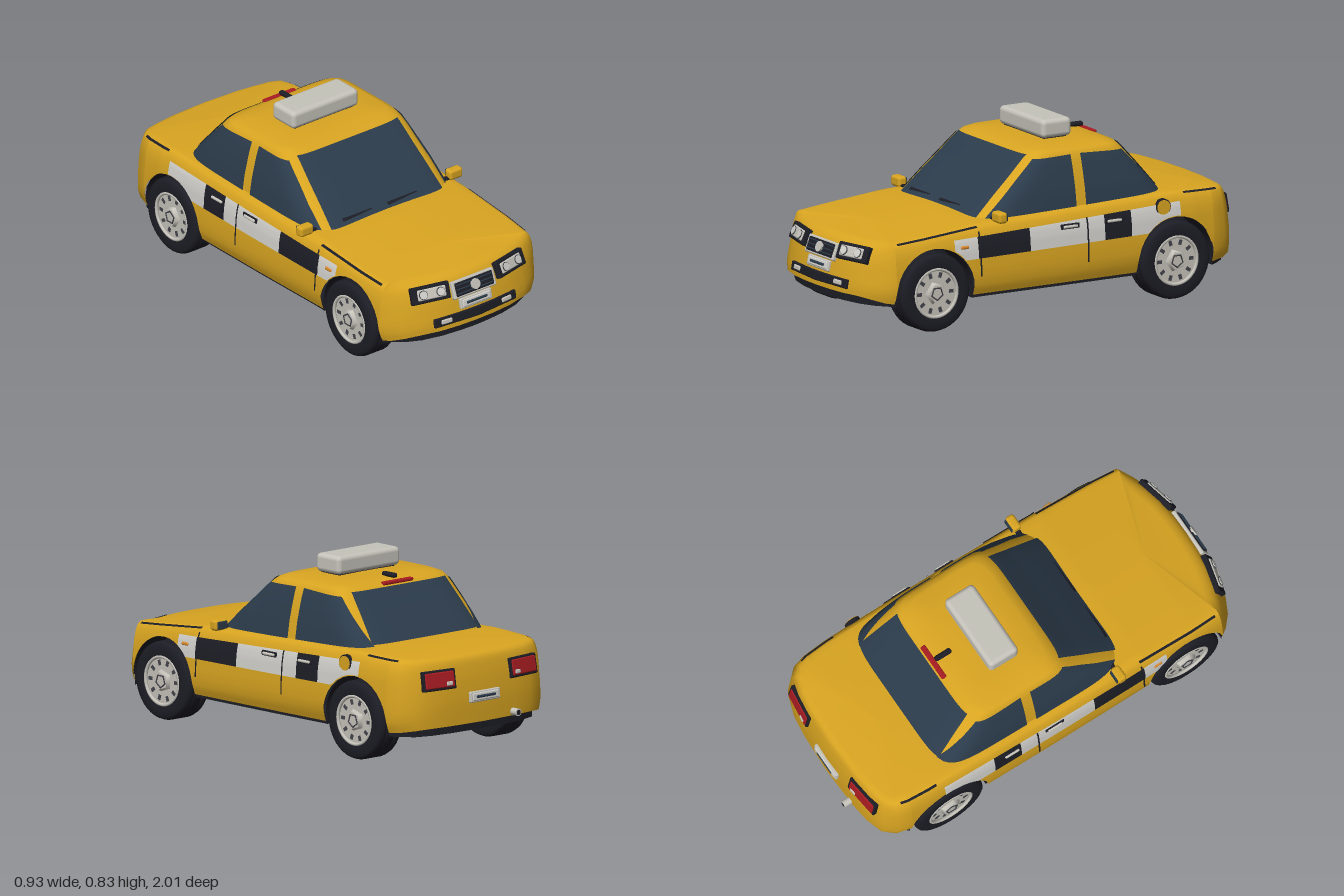
import * as THREE from 'three';
import { RoundedBoxGeometry } from 'three/addons/geometries/RoundedBoxGeometry.js';

const paint = (name, color) => Object.assign(new THREE.MeshStandardMaterial({ color, side: THREE.DoubleSide }), { name });
const M = {
  yellow: paint('taxi yellow', 0xd9a521), black: paint('black trim', 0x1d1d26), glass: paint('tinted glass', 0x2c3c4c),
  silver: paint('silver', 0xc6c4bb), white: paint('white', 0xd2d1cc), red: paint('lamp red', 0xa81c22),
  grey: paint('dark grey', 0x45464d), amber: paint('amber', 0xd98a2b),
};

// Linear interpolation in a table of [key, value] pairs with rising keys
function table(rows, t) {
  if (t <= rows[0][0]) return rows[0][1];
  for (let i = 1; i < rows.length; i++) {
    const [a, va] = rows[i - 1], [b, vb] = rows[i];
    if (t <= b) return va + (vb - va) * (t - a) / (b - a);
  }
  return rows[rows.length - 1][1];
}

// Grid surface: u runs right and v runs up when seen from outside
function patch(nu, nv, fn, closed = false) {
  const pos = [], idx = [], cols = closed ? nu : nu + 1;
  for (let j = 0; j <= nv; j++) for (let i = 0; i < cols; i++) pos.push(...fn(i / nu, j / nv, i, j));
  for (let j = 0; j < nv; j++) for (let i = 0; i < nu; i++) {
    const k = (i + 1) % cols, a = j * cols + i, b = j * cols + k, c = b + cols, d = a + cols;
    idx.push(a, b, c, a, c, d);
  }
  const g = new THREE.BufferGeometry();
  g.setAttribute('position', new THREE.Float32BufferAttribute(pos, 3));
  g.setIndex(idx);
  g.computeVertexNormals();
  return g;
}

// Body rules: plan outline, top line, and how the skin turns in near the top
const WHEEL_Z = [0.65, -0.605], ARCH = 0.2, AXLE_Y = 0.178;
const front = [[0, 1], [0.1, 0.997], [0.2, 0.987], [0.3, 0.963], [0.37, 0.928], [0.42, 0.885], [0.445, 0.85]];
const middle = [[0.455, 0.7], [0.458, 0.4], [0.46, 0], [0.458, -0.4], [0.455, -0.7]];
const back = [[0.447, -0.805], [0.43, -0.87], [0.385, -0.922], [0.3, -0.95], [0.2, -0.962], [0, -0.97]];
const plan = [...front, ...middle, ...back];
const widthRows = plan.map(([x, z]) => [z, x]).reverse(), backRows = [...back].reverse();
const halfWidth = z => table(widthRows, z);
const topY = z => table([[-0.97, 0.474], [-0.87, 0.479], [-0.6, 0.487], [-0.2, 0.476], [0.35, 0.462], [0.85, 0.417], [1, 0.41]], z);
const sideIn = d => table([[0, 0.052], [0.01, 0.036], [0.03, 0.024], [0.06, 0.014], [0.1, 0.007], [0.2, 0]], d);
const frontIn = d => table([[0, 0.1], [0.01, 0.075], [0.03, 0.055], [0.06, 0.04], [0.1, 0.026], [0.2, 0.004], [0.25, 0]], d);
const backIn = d => table([[0, 0.05], [0.01, 0.034], [0.03, 0.024], [0.1, 0.01], [0.2, 0]], d);
const endIn = (d, end) => end > 0 ? frontIn(d) : backIn(d);
const bottomY = z => {
  for (const c of WHEEL_Z) if (Math.abs(z - c) < ARCH - 1e-6) return AXLE_Y + Math.sqrt(ARCH ** 2 - (z - c) ** 2);
  return table([[-0.95, 0.168], [-0.82, 0.145], [0.87, 0.145], [0.96, 0.172]], z);
};
function skin(px, pz, y) {
  const d = topY(pz) - y, tuck = Math.max(0, 0.2 - y) * 0.35;
  const w = Math.min(1, Math.max(0, (Math.abs(pz) - 0.85) / 0.1));
  return [px * (1 - (sideIn(d) + tuck) / 0.46), y, pz - Math.sign(pz) * w * endIn(d, pz)];
}
const sideX = (z, y) => skin(halfWidth(z), z, y)[0];
const endZ = (x, y, end) => end > 0
  ? table(front, Math.abs(x)) - frontIn(topY(1) - y)
  : table(backRows, Math.abs(x)) + backIn(topY(-1) - y);

function bodyShell() {
  const zs = new Set(plan.map(p => p[1]));
  for (const c of WHEEL_Z) {
    for (const s of [-1, 1]) zs.add(c + s * ARCH * 0.999).add(c + s * ARCH);
    for (let k = 1; k < 16; k++) zs.add(c + ARCH * Math.cos(k * Math.PI / 16));
  }
  const right = [...zs].sort((a, b) => b - a).map(z => [halfWidth(z), z]);
  const ring = [...right, ...right.slice(1, -1).reverse().map(([x, z]) => [-x, z])];
  const rise = [0, 0.06, 0.15, 0.28, 0.4, 0.52, 0.64, 0.74, 0.82, 0.88, 0.93, 0.97, 1], inward = [0.93, 0.75, 0.5, 0.25, 0];
  return patch(ring.length, rise.length + inward.length - 1, (u, v, i, j) => {
    const [px, pz] = ring[i], yb = bottomY(pz), yt = topY(pz);
    if (j < rise.length) return skin(px, pz, yb + (yt - yb) * rise[j]);
    const k = inward[j - rise.length], [ex, , ez] = skin(px, pz, yt);
    const spine = Math.max(-0.72, Math.min(0.72, ez)), z = spine + (ez - spine) * k;
    return [ex * k, topY(z) * (1 - k) + yt * k + 0.012 * (1 - k * k), z];
  }, true);
}

// Cabin rules: [height, front z, back z, half width], rounded plan at every height
const levels = [[0.44, 0.395, -0.645, 0.402], [0.55, 0.27, -0.55, 0.385], [0.62, 0.188, -0.49, 0.368], [0.67, 0.133, -0.445, 0.354],
  [0.7, 0.1, -0.42, 0.343], [0.72, 0.073, -0.4, 0.328], [0.733, 0.04, -0.36, 0.298], [0.74, -0.03, -0.3, 0.2], [0.743, -0.165, -0.165, 0]];
const POW = 7;
const cabinAt = y => {
  const [f, b, w] = [1, 2, 3].map(c => table(levels.map(l => [l[0], l[c]]), y));
  return { mid: (f + b) / 2, half: (f - b) / 2, w };
};
const falloff = t => Math.pow(Math.max(0, 1 - Math.abs(t) ** POW), 1 / POW);
const cabinX = (z, y) => { const c = cabinAt(y); return c.w * falloff((z - c.mid) / c.half); };
const cabinZ = (x, y, end) => { const c = cabinAt(y); return c.mid + end * c.half * falloff(x / c.w); };
const cabinShell = () => patch(96, levels.length - 1, (u, v, i, j) => {
  const [y, f, b, w] = levels[j], a = u * Math.PI * 2, p = t => Math.sign(t) * Math.abs(t) ** (2 / POW);
  return [w * p(Math.sin(a)), y, (f + b) / 2 + (f - b) / 2 * p(Math.cos(a))];
}, true);

export function createModel() {
  const car = new THREE.Group();
  car.name = 'taxi';
  const add = (name, geo, mat, parent = car, x = 0, y = 0, z = 0) => {
    const m = new THREE.Mesh(geo, mat);
    m.name = name;
    m.position.set(x, y, z);
    parent.add(m);
    return m;
  };
  const block = (w, h, d, r = 0.006) => new RoundedBoxGeometry(w, h, d, 2, r);
  // Surface seen from one side, mirrored when s is -1
  const sided = (nu, nv, fn, s) => patch(nu, nv, (u, v) => {
    const [x, y, z] = fn(s > 0 ? u : 1 - u, v);
    return [x * s, y, z];
  });
  const sidePanel = (name, z0, z1, lo, hi, mat, s) => add(name, sided(24, 8, (u, v) => {
    const z = z0 + (z1 - z0) * u, top = hi(z), y0 = Math.min(top, Math.max(lo(z), bottomY(z) + 0.004)), y = y0 + (top - y0) * v;
    return [sideX(z, y) + 0.004, y, z];
  }, s), mat);
  // Group lying on the body with local z pointing out
  const endMount = (name, x, y, end) => {
    const g = new THREE.Group(), e = 0.02, z = endZ(x, y, end);
    const dx = (endZ(x + e, y, end) - endZ(x - e, y, end)) / (2 * e), dy = (endZ(x, y + e, end) - endZ(x, y - e, end)) / (2 * e);
    g.name = name;
    g.position.set(x, y, z);
    g.lookAt(x - end * dx, y - end * dy, z + end);
    car.add(g);
    return g;
  };
  const sideMount = (name, z, y, s) => {
    const g = new THREE.Group();
    g.name = name;
    g.position.set(s * sideX(z, y), y, z);
    g.rotation.y = s * Math.PI / 2;
    car.add(g);
    return g;
  };
  const slab = (g, name, w, h, out, mat, x = 0, y = 0) => add(name, block(w, h, 0.03), mat, g, x, y, out - 0.015);
  const disc = (g, name, r, out, mat, x = 0, y = 0) => add(name, new THREE.CylinderGeometry(r, r, 0.02, 24), mat, g, x, y, out - 0.01).rotateX(Math.PI / 2);

  add('body', bodyShell(), M.yellow);
  add('cabin', cabinShell(), M.yellow);

  // Floor, notched around the wheels
  const half = [];
  for (const [x, z] of plan) half.push([Math.max(0, x - 0.03), z * 0.975]);
  for (const c of WHEEL_Z) for (const s of [-1, 1]) half.push([0.43, c + s * 0.201], [0.3, c + s * 0.2]);
  const inNotch = ([x, z]) => x > 0.31 && WHEEL_Z.some(c => Math.abs(z - c) < 0.2);
  const edge = half.filter(p => !inNotch(p)).sort((a, b) => b[1] - a[1]);
  const outline = [...edge, ...edge.slice().reverse().map(([x, z]) => [-x, z])].map(([x, z]) => new THREE.Vector2(x, -z));
  add('floor', new THREE.ExtrudeGeometry(new THREE.Shape(outline), { depth: 0.05, bevelEnabled: false }), M.black, car, 0, 0.13).rotateX(-Math.PI / 2);
  add('inner chassis', new THREE.BoxGeometry(0.62, 0.24, 1.7), M.black, car, 0, 0.27);

  // Windscreen and rear window
  for (const end of [1, -1]) {
    const [y0, y1, w0, w1] = end > 0 ? [0.46, 0.709, 0.318, 0.288] : [0.495, 0.705, 0.322, 0.285];
    add(end > 0 ? 'windscreen' : 'rear window', patch(40, 20, (u, v) => {
      const x = end * (2 * u - 1) * (w0 + (w1 - w0) * v), y = y0 + (y1 - y0) * v;
      return [x, y + 0.004, cabinZ(x, y, end) + end * 0.004];
    }), M.glass);
  }
  // Wipers
  for (const x0 of [-0.25, 0.005]) add('wiper', patch(8, 1, (u, v) => {
    const x = x0 + 0.17 * u, y = 0.474 + 0.008 * u + 0.011 * v * (1 - u * 0.7);
    return [x, y + 0.009, cabinZ(x, y, 1) + 0.009];
  }), M.black);

  const tyreHalf = [[0.11, 0.066], [0.135, 0.07], [0.162, 0.068], [0.173, 0.06], [0.178, 0.046], [0.178, 0.032], [0.17, 0.03], [0.17, 0.022], [0.178, 0.02]];
  const tyreLine = [...tyreHalf.map(([r, h]) => [r, -h]), ...tyreHalf.slice().reverse()].map(p => new THREE.Vector2(...p));

  for (const s of [1, -1]) {
    // Side windows as quads: [front low, back low, back high, front high]
    const panes = [[[0.335, 0.462], [-0.115, 0.472], [-0.115, 0.7], [0.072, 0.695]], [[-0.165, 0.474], [-0.592, 0.487], [-0.392, 0.69], [-0.165, 0.7]]];
    for (const [a, b, c, d] of panes) add('side window', sided(24, 16, (u, v) => {
      const [z, y] = [0, 1].map(k => (a[k] * (1 - u) + b[k] * u) * (1 - v) + (d[k] * (1 - u) + c[k] * u) * v);
      return [cabinX(z, y) + 0.005, y + 0.002, z];
    }, s), M.glass);

    // Checker band, door seams and bonnet and boot gaps
    const lo = z => 0.315 - 0.01 * z, hi = z => 0.423 - 0.035 * z;
    for (const [z0, z1, mat] of [[0.55, 0.43, M.white], [0.43, 0.16, M.black], [0.16, -0.23, M.white], [-0.23, -0.37, M.black], [-0.37, -0.63, M.white]])
      sidePanel('checker band', z0, z1, lo, hi, mat, s);
    for (const z of [0.42, -0.14]) add('door seam', sided(1, 10, (u, v) => {
      const y = 0.23 + 0.2 * v;
      return [sideX(z, y) + 0.006, y, z + 0.004 - 0.008 * u];
    }, s), M.black);
    for (const [z0, z1] of [[0.83, 0.42], [-0.66, -0.84]])
      sidePanel('panel gap', z0, z1, z => topY(z) - 0.011, z => topY(z) - 0.004, M.black, s);

    // Door handles and side indicator
    for (const z of [-0.05, -0.28]) {
      const g = sideMount('door handle', z, 0.4, s);
      slab(g, 'handle recess', 0.1, 0.026, 0.007, M.black);
      slab(g, 'handle bar', 0.075, 0.013, 0.016, M.silver);
    }
    slab(sideMount('side indicator', 0.5, 0.368, s), 'indicator lens', 0.042, 0.015, 0.01, M.amber);

    // Mirror
    add('mirror', block(0.075, 0.05, 0.045, 0.014), M.yellow, car, s * 0.428, 0.48, 0.305);
    add('mirror glass', block(0.058, 0.035, 0.008, 0.003), M.glass, car, s * 0.428, 0.48, 0.282);
    add('mirror stalk', block(0.06, 0.018, 0.025), M.black, car, s * 0.385, 0.463, 0.305);

    // Wheels with arch liners
    for (const z of WHEEL_Z) {
      const liner = add('arch liner', new THREE.CylinderGeometry(ARCH - 0.001, ARCH - 0.001, 0.14, 32, 1, true, 0, Math.PI), M.black, car, s * 0.37, AXLE_Y, z);
      liner.rotation.set(0, 0, Math.PI / 2);
      const wheel = new THREE.Group();
      wheel.name = 'wheel';
      wheel.position.set(s * 0.388, AXLE_Y, z);
      wheel.rotation.z = -s * Math.PI / 2;
      car.add(wheel);
      add('tyre', new THREE.LatheGeometry(tyreLine, 40), M.black, wheel);
      add('rim', new THREE.CylinderGeometry(0.112, 0.112, 0.11, 40), M.silver, wheel);
      add('rim lip', new THREE.TorusGeometry(0.109, 0.008, 8, 40), M.silver, wheel, 0, 0.062).rotateX(Math.PI / 2);
      add('hub', new THREE.CylinderGeometry(0.042, 0.055, 0.022, 5), M.silver, wheel, 0, 0.062);
      add('hub ring', new THREE.TorusGeometry(0.03, 0.004, 6, 5), M.grey, wheel, 0, 0.073).rotateX(Math.PI / 2);
      for (let k = 0; k < 10; k++) {
        const a = k * Math.PI / 5;
        add('rim slot', new THREE.BoxGeometry(0.016, 0.006, 0.024), M.grey, wheel, Math.sin(a) * 0.083, 0.054, Math.cos(a) * 0.083).rotation.y = a;
      }
    }

    // Headlamp, fog lamp and tail lamp
    const head = endMount('headlamp', s * 0.227, 0.353, 1);
    slab(head, 'headlamp frame', 0.19, 0.078, 0.016, M.black);
    slab(head, 'headlamp lens', 0.14, 0.05, 0.022, M.silver, -s * 0.004);
    for (const x of [-0.046, 0.04]) {
      disc(head, 'lamp ring', 0.021, 0.025, M.grey, s * x);
      disc(head, 'lamp', 0.018, 0.028, M.white, s * x);
    }
    const tail = endMount('tail lamp', s * 0.255, 0.382, -1);
    slab(tail, 'tail lamp frame', 0.18, 0.092, 0.009, M.black);
    slab(tail, 'tail lamp lens', 0.16, 0.072, 0.014, M.red);
    slab(tail, 'reverse lamp', 0.035, 0.02, 0.018, M.silver, s * 0.05, -0.02);
  }

  // Fuel cap on the left side only
  const cap = sideMount('fuel cap', -0.54, 0.428, 1);
  disc(cap, 'cap ring', 0.038, 0.008, M.black);
  disc(cap, 'cap', 0.033, 0.012, M.yellow);

  // Grille, number plates and lower intake
  const grille = endMount('grille', 0, 0.337, 1);
  slab(grille, 'grille frame', 0.24, 0.082, 0.012, M.silver);
  slab(grille, 'grille opening', 0.215, 0.064, 0.016, M.black);
  for (const y of [-0.02, 0, 0.02]) slab(grille, 'grille bar', 0.205, 0.006, 0.02, M.glass, 0, y);
  disc(grille, 'grille disc', 0.024, 0.026, M.silver);
  for (const [y, end] of [[0.27, 1], [0.285, -1]]) {
    const g = endMount('number plate', 0, y, end);
    slab(g, 'plate frame', 0.18, 0.05, 0.01, M.silver);
    slab(g, 'plate face', 0.16, 0.036, 0.014, M.white);
    slab(g, 'plate bar', 0.12, 0.014, 0.017, M.glass);
  }
  const intake = endMount('lower intake', 0, 0.215, 1);
  for (const s of [-1, 1]) {
    const g = endMount('lower intake side', s * 0.115, 0.215, 1);
    slab(g, 'intake slot', 0.235, 0.042, 0.008, M.black);
    slab(g, 'fog lamp', 0.058, 0.022, 0.014, M.silver, s * 0.055);
  }
  slab(intake, 'intake centre', 0.1, 0.042, 0.006, M.black);

  // Roof sign, aerial, high brake lamp and tailpipe
  add('roof sign base', block(0.34, 0.02, 0.12), M.black, car, 0, 0.742, -0.145);
  add('roof sign', block(0.38, 0.085, 0.155, 0.022), M.silver, car, 0, 0.786, -0.145);
  add('aerial', block(0.026, 0.022, 0.085, 0.01), M.black, car, 0, 0.744, -0.35);
  add('high brake lamp', block(0.18, 0.016, 0.025), M.red, car, 0, 0.721, -0.4);
  add('tailpipe', new THREE.CylinderGeometry(0.017, 0.017, 0.1, 20), M.silver, car, -0.18, 0.186, -0.95).rotateX(Math.PI / 2);
  add('tailpipe bore', new THREE.CircleGeometry(0.012, 20), M.black, car, -0.18, 0.186, -1.001).rotateY(Math.PI);
  return car;
}
